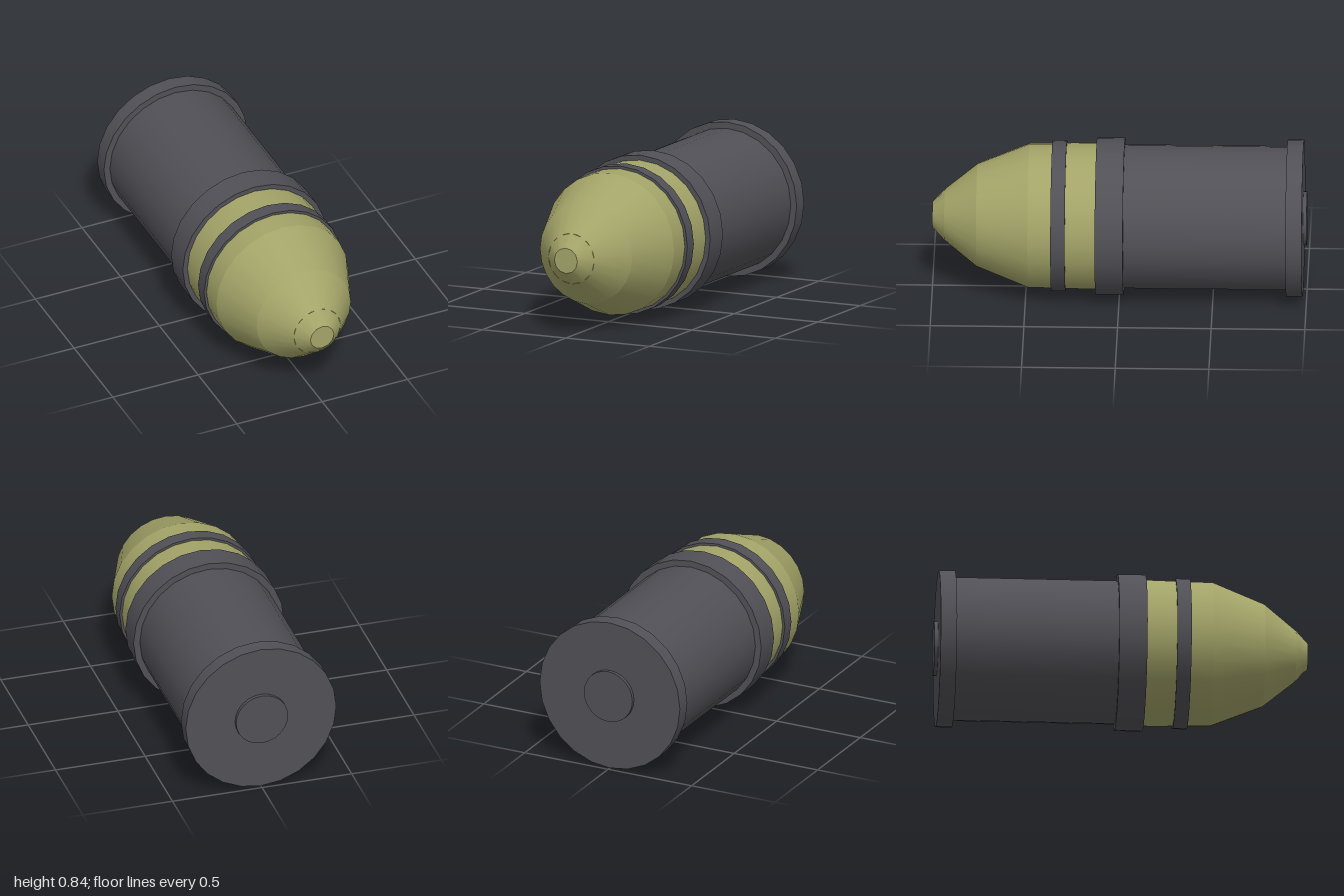
import * as THREE from 'three';

export function createModel() {
  const olive = new THREE.MeshStandardMaterial({ color: 0xa3a468 });
  olive.name = 'olive paint';
  const metal = new THREE.MeshStandardMaterial({ color: 0x505056 });
  metal.name = 'dark grey metal';

  const model = new THREE.Group();
  model.name = 'shell';
  const axisY = 0.42;

  // One turned section along z, from its back end to its front end
  function section(name, material, zBack, zFront, rBack, rFront = rBack, sides = 24) {
    const geometry = new THREE.CylinderGeometry(rFront, rBack, zFront - zBack, sides);
    geometry.rotateX(Math.PI / 2);
    const mesh = new THREE.Mesh(geometry, material);
    mesh.name = name;
    mesh.position.set(0, axisY, (zBack + zFront) / 2);
    model.add(mesh);
  }

  // Casing with its rims and primer
  section('primer', metal, -1, -0.97, 0.145);
  section('rearRim', metal, -0.98, -0.893, 0.42);
  section('casing', metal, -0.9, 0, 0.385);
  section('frontCollar', metal, -0.025, 0.125, 0.42);

  // Projectile body and driving band
  section('projectileBody', olive, 0.1, 0.485, 0.393, 0.386);
  section('drivingBand', metal, 0.285, 0.362, 0.403);

  // Nose: each cone keeps a crisp edge to the next
  section('noseLower', olive, 0.485, 0.762, 0.386, 0.276);
  section('noseUpper', olive, 0.762, 0.935, 0.276, 0.137);
  section('noseTip', olive, 0.935, 1, 0.138, 0.069, 12);

  return model;
}
